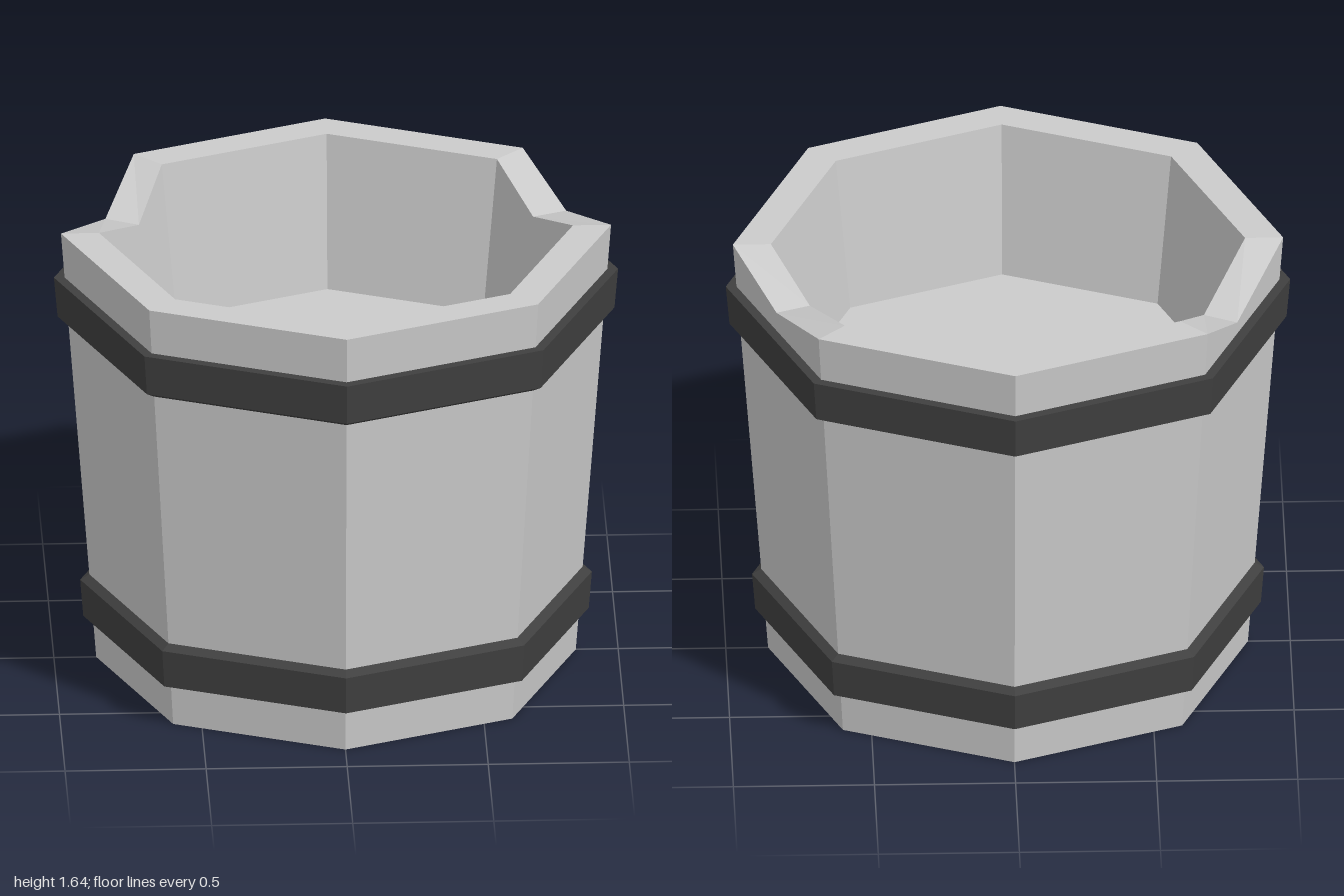
import * as THREE from 'three';

const SIDES = 8, HEIGHT = 1.64, FLOOR = 1.07;

// Unit octagon point at a station; fractional stations lie on the straight edge
function octagonPoint(k) {
  const i = Math.floor(k), t = k - i;
  const corner = n => {
    const a = (n / SIDES) * Math.PI * 2;
    return new THREE.Vector2(Math.sin(a), Math.cos(a));
  };
  return corner(i).lerp(corner(i + 1), t);
}

// Hollow tapered tub, with two chipped spots in the rim: [station, depth]
function tubGeometry() {
  const chips = [[2.49, 0.09], [5.42, 0.12]];
  const stations = [];
  for (let i = 0; i < SIDES; i++) stations.push([i, 0]);
  stations.push(...chips);
  stations.sort((a, b) => a[0] - b[0]);

  const sections = stations.map(([k, drop]) => {
    const p = octagonPoint(k), top = HEIGHT - drop;
    const outer = 0.85 + 0.125 * top / HEIGHT;
    const inner = 0.77 + 0.07 * (top - FLOOR) / (HEIGHT - FLOOR);
    return [[0, 0], [0.85, 0], [outer, top], [inner, top], [0.77, FLOOR], [0, FLOOR]]
      .map(([r, y]) => [p.x * r, y, p.y * r]);
  });

  const pos = [];
  sections.forEach((s, i) => {
    const n = sections[(i + 1) % sections.length];
    for (let j = 0; j < s.length - 1; j++) {
      if (j > 0) pos.push(...s[j], ...n[j], ...n[j + 1]);
      if (j < s.length - 2) pos.push(...s[j], ...n[j + 1], ...s[j + 1]);
      else pos.splice(pos.length - 9, 9, ...s[j], ...n[j], ...s[j + 1]);
    }
  });
  const geo = new THREE.BufferGeometry();
  geo.setAttribute('position', new THREE.Float32BufferAttribute(pos, 3));
  geo.computeVertexNormals();
  return geo;
}

// Hoop from a closed [radius, height] profile
function hoopGeometry(profile) {
  return new THREE.LatheGeometry(profile.map(([r, y]) => new THREE.Vector2(r, y)), SIDES);
}

export function createModel() {
  const group = new THREE.Group();
  group.name = 'bucket';
  const wood = new THREE.MeshStandardMaterial({ color: 0xcccccc, flatShading: true });
  const iron = new THREE.MeshStandardMaterial({ color: 0x404040, flatShading: true });

  const add = (name, geometry, material) => {
    const mesh = new THREE.Mesh(geometry, material);
    mesh.name = name;
    group.add(mesh);
  };

  add('tub', tubGeometry(), wood);
  // Upper hoop: bevelled lower edge
  add('upperHoop', hoopGeometry([[0.93, 1.3], [0.952, 1.3], [0.987, 1.32], [1, 1.47], [0.93, 1.47]]), iron);
  // Lower hoop: bevelled upper edge
  add('lowerHoop', hoopGeometry([[0.85, 0.16], [0.896, 0.16], [0.907, 0.3], [0.875, 0.32], [0.85, 0.32]]), iron);
  return group;
}
